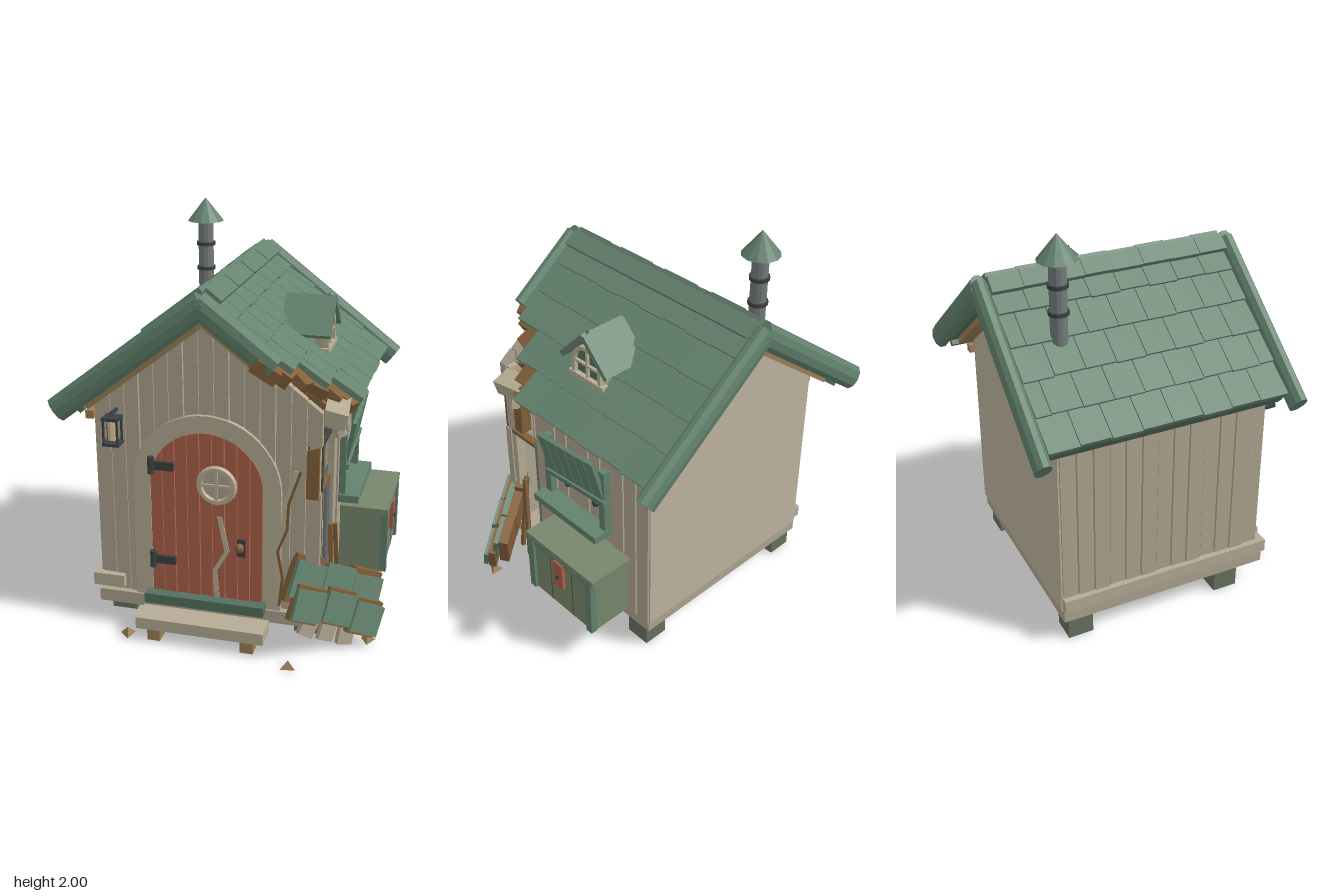
import * as THREE from 'three';

const C = {
  wood: 0xaea48f, woodLight: 0xb5ab95, back: 0xbdb39e, groove: 0x5a5245, dark: 0x3b4042, brown: 0x82603a,
  trim: 0x9a7f56, green: 0x62826d, greenDark: 0x54705f, roof: 0x668470, red: 0xab6048, cream: 0xb8ae94,
  pipe: 0x747a7a, foot: 0x68715f, chest: 0x78876c, under: 0xa89c92, glass: 0xc9b88a,
};
const CX = -0.055, ANGLE = 0.656, SLOPE = 0.77;
const gable = (x) => 1.63 - SLOPE * Math.abs(x - CX);

function add(parent, name, geo, color, pos = [0, 0, 0], rot = [0, 0, 0]) {
  const m = new THREE.Mesh(geo, new THREE.MeshStandardMaterial({ color, flatShading: true }));
  m.name = name;
  m.position.set(...pos);
  m.rotation.set(...rot);
  parent.add(m);
  return m;
}
// Box given by its limits on each axis
function span(parent, name, color, [x0, x1], [y0, y1], [z0, z1]) {
  return add(parent, name, new THREE.BoxGeometry(x1 - x0, y1 - y0, z1 - z0), color,
    [(x0 + x1) / 2, (y0 + y1) / 2, (z0 + z1) / 2]);
}
function group(parent, name, pos = [0, 0, 0]) {
  const g = new THREE.Group();
  g.name = name;
  g.position.set(...pos);
  parent.add(g);
  return g;
}
const extrude = (shape, depth) => new THREE.ExtrudeGeometry(shape, { depth, bevelEnabled: false, curveSegments: 12 });
const poly = (pts) => new THREE.Shape(pts.map((p) => new THREE.Vector2(...p)));
// Upright board whose top follows a rule
function board(x0, x1, y0, top, depth) {
  const pts = [[x0, y0], [x1, y0]];
  for (let i = 0; i <= 6; i++) { const x = x1 + (x0 - x1) * i / 6; pts.push([x, top(x)]); }
  return extrude(poly(pts), depth);
}
// Round-topped outline around x = 0
function archPath(r, y0, spring, P = THREE.Shape) {
  const s = new P();
  s.moveTo(-r, y0); s.lineTo(r, y0); s.lineTo(r, spring);
  s.absarc(0, spring, r, 0, Math.PI, false);
  s.lineTo(-r, y0);
  return s;
}
function archFrame(ro, ri, y0, spring, depth) {
  const s = archPath(ro, y0, spring);
  s.holes.push(archPath(ri, y0 + 0.001, spring, THREE.Path));
  return extrude(s, depth);
}
// Jagged strip along a list of points
function crack(pts, w) {
  const l = pts.map(([x, y], i) => [x - (i % 2 ? w : w * 0.6), y]);
  const r = pts.map(([x, y], i) => [x + (i % 2 ? w * 0.6 : w), y]).reverse();
  return extrude(poly([...l, ...r]), 0.01);
}

function buildBase(g) {
  span(g, 'platform', C.wood, [-0.61, 0.5], [0.115, 0.18], [-0.575, 0.54]);
  span(g, 'underside', C.under, [-0.58, 0.47], [0.105, 0.12], [-0.55, 0.51]);
  for (const x of [-0.535, 0.425]) for (const z of [-0.485, 0.335])
    add(g, 'foot', new THREE.BoxGeometry(0.13, 0.11, 0.13), C.foot, [x, 0.055, z]);
  span(g, 'step', C.woodLight, [-0.375, 0.265], [0.065, 0.125], [0.54, 0.675]);
  for (const x of [-0.29, 0.18]) span(g, 'stepFoot', C.trim, [x - 0.032, x + 0.032], [0, 0.065], [0.55, 0.66]);
  span(g, 'leftSkirting', C.woodLight, [-0.64, -0.585], [0.2, 0.265], [-0.58, 0.54]);
  span(g, 'frontSkirting', C.woodLight, [-0.64, -0.48], [0.2, 0.265], [0.5, 0.54]);
}

function buildWalls(g) {
  // Shell behind the boards
  const outline = poly([[-0.6, 0.18], [0.5, 0.18], [0.5, gable(0.5)], [CX, gable(CX)], [-0.6, gable(-0.6)]]);
  add(g, 'frontBacking', new THREE.ShapeGeometry(outline), C.groove, [0, 0, 0.47]);
  add(g, 'backWall', extrude(outline, 0.02), C.back, [0, 0, -0.585]);
  add(g, 'leftBacking', new THREE.PlaneGeometry(1.06, 1.02), C.groove, [-0.585, 0.69, -0.05], [0, -Math.PI / 2, 0]);
  add(g, 'rightBacking', new THREE.PlaneGeometry(0.82, 1.02), C.groove, [0.485, 0.69, -0.17], [0, Math.PI / 2, 0]);
  // Front boards, the last one broken in the middle
  const n = 15, w = 1.1 / n;
  for (let i = 0; i < n; i++) {
    const x0 = -0.6 + i * w + 0.002, x1 = x0 + w - 0.004, z = 0.465 + 0.004 * (i % 3);
    if (i < n - 1) { add(g, 'frontBoard', board(x0, x1, 0.18, gable, 0.04), C.wood, [0, 0, z]); continue; }
    add(g, 'brokenBoardLow', board(x0, x1, 0.18, (x) => 0.77 + (x - x0) * 0.5, 0.04), C.wood, [0, 0, z]);
    add(g, 'brokenBoardHigh', board(x0, x1, 1.04, gable, 0.04), C.wood, [0, 0, z]);
    add(g, 'brokenLining', board(x0, x1 - 0.01, 0.78, (x) => 1.02 + (x - x0) * 0.3, 0.02), C.brown, [0, 0, z + 0.025]);
  }
  // Side boards without their inner faces
  const sideBoards = (name, x, side, z0, z1) => {
    const k = Math.round((z1 - z0) / 0.082), bw = (z1 - z0) / k;
    for (let i = 0; i < k; i++) {
      const geo = new THREE.BoxGeometry(0.03, 1.02, bw - 0.006);
      const idx = Array.from(geo.index.array);
      geo.setIndex(side < 0 ? idx.slice(6) : [...idx.slice(0, 6), ...idx.slice(12)]);
      add(g, name, geo, C.wood, [x + side * 0.004 * (i % 3), 0.69, z0 + bw * (i + 0.5)]);
    }
  };
  sideBoards('leftBoard', -0.595, -1, -0.58, 0.5);
  sideBoards('rightBoard', 0.495, 1, -0.58, 0.24);
  span(g, 'leftWallPlate', C.trim, [-0.64, -0.6], [1.09, 1.13], [-0.56, 0.54]);
  span(g, 'rightWallPlate', C.trim, [0.5, 0.54], [1.12, 1.16], [-0.58, 0.22]);
  span(g, 'rightBracket', C.trim, [0.5, 0.54], [1.08, 1.12], [-0.61, -0.45]);
  // Exposed framing in the broken corner
  span(g, 'cornerStud', C.woodLight, [0.44, 0.49], [0.18, 1.2], [0.44, 0.5]);
  span(g, 'brokenStud', C.brown, [0.43, 0.49], [0.82, 1.05], [0.38, 0.44]);
  span(g, 'upperRail', C.dark, [0.46, 0.5], [1.03, 1.045], [0.24, 0.47]);
  span(g, 'lowerRail', C.brown, [0.46, 0.5], [0.795, 0.815], [0.24, 0.46]);
  add(g, 'brokenPlate', new THREE.BoxGeometry(0.11, 0.08, 0.2), C.woodLight, [0.53, 1.16, 0.34], [0.1, 0.1, -0.25]);
  add(g, 'brokenPeg', new THREE.CylinderGeometry(0.025, 0.035, 0.13, 6), C.wood, [0.54, 1.11, 0.35], [0.1, 0, 0.2]);
  const path = [[0.4, 0.92], [0.35, 0.75], [0.34, 0.62], [0.3, 0.5], [0.32, 0.36], [0.31, 0.21]];
  add(g, 'wallCrack', crack(path, 0.012), C.brown, [0, 0, 0.524]);
  add(g, 'wallCrackEdge', crack(path.map(([x, y]) => [x - 0.015, y]), 0.014), C.cream, [0, 0, 0.526]);
  // Drainpipe in broken lengths
  for (const [y0, y1] of [[0.13, 0.24], [0.27, 0.82], [1.03, 1.13]]) {
    add(g, 'drainpipe', new THREE.CylinderGeometry(0.018, 0.018, y1 - y0, 8), C.pipe, [0.485, (y0 + y1) / 2, 0.26]);
    add(g, 'drainpipeTip', new THREE.ConeGeometry(0.022, 0.05, 8), C.pipe, [0.485, y1 + 0.02, 0.26]);
  }
}

function buildDoor(parent) {
  const g = group(parent, 'door', [-0.05, 0, 0]);
  add(g, 'doorFrame', archFrame(0.365, 0.278, 0.18, 0.785, 0.055), C.woodLight, [0, 0, 0.475]);
  const top = (x) => 0.785 + Math.sqrt(Math.max(0, 0.078 - x * x));
  add(g, 'doorGrooves', extrude(archPath(0.278, 0.19, 0.785), 0.02), C.groove, [0, 0, 0.495]);
  for (let i = 0; i < 9; i++) {
    const x0 = -0.277 + i * 0.0616;
    add(g, 'doorBoard', board(x0 + 0.002, x0 + 0.059, 0.2, top, 0.025), C.red, [0, 0, 0.508 + 0.003 * (i % 2)]);
  }
  span(g, 'threshold', C.greenDark, [-0.305, 0.295], [0.165, 0.215], [0.5, 0.59]);
  // Round window
  add(g, 'portholePane', new THREE.CylinderGeometry(0.085, 0.085, 0.02, 20), C.wood, [0.055, 0.81, 0.53], [Math.PI / 2, 0, 0]);
  add(g, 'portholeRing', new THREE.TorusGeometry(0.083, 0.018, 6, 24), C.cream, [0.055, 0.81, 0.537]);
  for (const a of [0, Math.PI / 2])
    add(g, 'portholeBar', new THREE.BoxGeometry(0.15, 0.014, 0.02), C.cream, [0.055, 0.81, 0.54], [0, 0, a]);
  // Hinges and knob
  for (const y of [0.885, 0.39]) {
    add(g, 'hingeStrap', new THREE.BoxGeometry(0.12, 0.042, 0.02), C.dark, [-0.215, y, 0.54]);
    add(g, 'hingePin', new THREE.CylinderGeometry(0.017, 0.017, 0.085, 8), C.dark, [-0.268, y, 0.545]);
  }
  add(g, 'knobPlate', new THREE.BoxGeometry(0.04, 0.09, 0.015), C.dark, [0.175, 0.5, 0.54]);
  add(g, 'knob', new THREE.SphereGeometry(0.024, 8, 6), C.brown, [0.175, 0.515, 0.575]);
  add(g, 'doorCrack', crack([[0.065, 0.65], [0.09, 0.55], [0.1, 0.47], [0.045, 0.36], [0.05, 0.21]], 0.015), C.cream, [0, 0, 0.53]);
}

function buildRoof(parent) {
  const hash = (a, b) => (Math.sin(a * 12.9 + b * 78.2) * 437.5) % 1;
  for (const side of [-1, 1]) {
    const g = group(parent, side < 0 ? 'leftRoof' : 'rightRoof', [CX, 1.715, 0]);
    g.rotation.z = -side * ANGLE;
    const slab = (name, color, s0, s1, y, h, z0, z1) => add(g, name, new THREE.BoxGeometry(s1 - s0, h, z1 - z0), color,
      [side * (s0 + s1) / 2, y, (z0 + z1) / 2]);
    // Front edge of each shingle row; the right side is torn away
    const limit = side < 0 ? [0.53, 0.53, 0.53, 0.53, 0.53] : [0.53, 0.53, 0.52, 0.37, 0.23];
    limit.forEach((end, row) => {
      const s0 = row * 0.172, w = 0.151;
      slab('roofDeck', C.greenDark, s0, s0 + 0.172, -0.055, 0.05, -0.69, end);
      for (let c = 0; c < 9; c++) {
        const z0 = Math.max(-0.68, -0.68 + (c - (row % 2) / 2) * w), z1 = Math.min(end, -0.68 + (c + 1 - (row % 2) / 2) * w);
        if (z1 - z0 < 0.03) continue;
        const m = slab('shingle', C.roof, s0, s0 + 0.178 + 0.004 * hash(row, c), -0.013, 0.03, z0 + 0.002, z1 - 0.002);
        m.rotation.z = side * (0.07 + 0.012 * hash(c, row));
      }
    });
    slab('eaveBoard', C.greenDark, 0.825, 0.858, -0.08, 0.05, -0.69, limit[4]);
    // Ridge caps
    for (let c = 0; c < 8; c++) slab('ridgeCap', C.roof, -0.01, 0.08, 0.024 + 0.004 * (c % 2), 0.028, -0.68 + c * 0.151, -0.53 + c * 0.151);
    // Rounded gable edges and wooden trim below
    for (const z of [0.57, -0.717]) {
      const broken = side > 0 && z > 0, len = broken ? 0.45 : 0.925;
      add(g, 'gableEdge', new THREE.CylinderGeometry(0.064, 0.064, len, 10), C.green, [side * len / 2, -0.025, z], [0, 0, Math.PI / 2]).scale.z = 0.62;
      slab('gableTrim', C.trim, 0, broken ? 0.45 : 0.8, -0.093, 0.035, z > 0 ? 0.5 : -0.66, z > 0 ? 0.55 : -0.58);
    }
    if (side < 0) continue;
    // Splintered wood along the torn edge
    [[0.42, 0.56], [0.48, 0.48], [0.56, 0.41], [0.64, 0.34], [0.72, 0.28], [0.8, 0.22]].forEach(([s, z], i) =>
      add(g, 'splinter', new THREE.BoxGeometry(0.13, 0.07, 0.09), C.brown, [s, -0.06, z], [0.15 * (i % 2), 0.3 - 0.3 * (i % 3), 0.1 * (i % 2)]));
    add(g, 'brokenRafter', new THREE.BoxGeometry(0.3, 0.05, 0.05), C.brown, [0.65, -0.11, 0.36], [0, 0.35, 0]);
  }
}

function buildChimney(parent) {
  const g = group(parent, 'chimney', [-0.325, 0, -0.443]);
  add(g, 'chimneyPipe', new THREE.CylinderGeometry(0.041, 0.041, 0.46, 12), C.pipe, [0, 1.66, 0]);
  for (const y of [1.63, 1.76]) add(g, 'chimneyBand', new THREE.CylinderGeometry(0.05, 0.05, 0.018, 12), C.dark, [0, y, 0]);
  add(g, 'chimneyCap', new THREE.ConeGeometry(0.095, 0.12, 12), C.roof, [0, 1.94, 0]);
}

function buildDormer(parent) {
  // Faces the right side of the house
  const g = group(parent, 'dormer', [0, 1.33, -0.075]);
  g.rotation.y = Math.PI / 2;
  add(g, 'dormerBody', extrude(poly([[-0.105, 0], [0.105, 0], [0.105, 0.12], [0, 0.225], [-0.105, 0.12]]), 0.18), C.wood, [0, 0, 0.22]);
  add(g, 'dormerPane', extrude(archPath(0.085, 0.03, 0.1), 0.01), C.greenDark, [0, 0, 0.4]);
  add(g, 'dormerFrame', archFrame(0.1, 0.08, 0.02, 0.1, 0.03), C.cream, [0, 0, 0.4]);
  add(g, 'dormerSill', new THREE.BoxGeometry(0.24, 0.025, 0.05), C.cream, [0, 0.025, 0.41]);
  add(g, 'dormerMullion', new THREE.BoxGeometry(0.012, 0.15, 0.015), C.cream, [0, 0.1, 0.418]);
  add(g, 'dormerCrossbar', new THREE.BoxGeometry(0.16, 0.012, 0.015), C.cream, [0, 0.1, 0.418]);
  for (const s of [-1, 1])
    add(g, 'dormerRoof', new THREE.BoxGeometry(0.225, 0.026, 0.25), C.roof, [s * 0.077, 0.187, 0.322], [0, 0, -s * 0.8]);
  add(g, 'dormerFinial', new THREE.ConeGeometry(0.018, 0.04, 5), C.greenDark, [0, 0.275, 0.41]);
}

function buildSideWindow(parent) {
  const g = group(parent, 'sideWindow');
  span(g, 'windowSill', C.green, [0.5, 0.62], [0.61, 0.648], [-0.325, 0.14]);
  for (const z of [0.105, -0.3]) span(g, 'windowJamb', C.green, [0.5, 0.55], [0.648, 1.0], [z - 0.02, z + 0.02]);
  for (const z of [-0.03, -0.235]) add(g, 'windowPeg', new THREE.SphereGeometry(0.02, 8, 6), C.dark, [0.53, 0.765, z]);
  // Slanting shutter hanging loose
  const s = group(g, 'shutter', [0.56, 0.92, -0.1]);
  s.rotation.set(0.1, 0, -0.2);
  for (let i = 0; i < 6; i++) add(s, 'shutterBoard', new THREE.BoxGeometry(0.022, 0.25, 0.064), C.green, [0, 0, -0.17 + i * 0.068]);
  add(s, 'shutterRail', new THREE.BoxGeometry(0.035, 0.03, 0.43), C.green, [0.005, -0.115, 0]);
}

function buildChest(parent) {
  const g = group(parent, 'storageChest');
  span(g, 'chestBody', C.chest, [0.51, 0.745], [0.19, 0.51], [-0.44, 0.025]);
  span(g, 'chestLid', C.chest, [0.51, 0.76], [0.512, 0.545], [-0.465, 0.04]);
  for (const z of [0.01, -0.425]) span(g, 'chestPost', C.green, [0.725, 0.76], [0.19, 0.512], [z - 0.02, z + 0.02]);
  span(g, 'chestRail', C.green, [0.73, 0.755], [0.485, 0.512], [-0.44, 0.025]);
  for (const z of [-0.13, -0.29]) span(g, 'chestGroove', C.groove, [0.74, 0.747], [0.19, 0.49], [z - 0.003, z + 0.003]);
  span(g, 'latch', C.red, [0.745, 0.765], [0.34, 0.495], [-0.24, -0.172]);
  span(g, 'latchPin', C.dark, [0.76, 0.773], [0.4, 0.42], [-0.215, -0.197]);
}

function buildLantern(parent) {
  const g = group(parent, 'lantern', [-0.492, 0, 0.575]);
  add(g, 'lanternGlass', new THREE.CylinderGeometry(0.025, 0.025, 0.1, 8), C.glass, [0, 1.06, 0]);
  for (const y of [0.992, 1.118]) add(g, 'lanternPlate', new THREE.BoxGeometry(0.082, 0.014, 0.075), C.dark, [0, y, 0]);
  for (const x of [-0.034, 0.034]) for (const z of [-0.03, 0.03])
    add(g, 'lanternBar', new THREE.BoxGeometry(0.009, 0.125, 0.009), C.dark, [x, 1.055, z]);
  add(g, 'lanternCap', new THREE.ConeGeometry(0.04, 0.03, 4), C.dark, [0, 1.135, 0], [0, Math.PI / 4, 0]);
  add(g, 'lanternArm', new THREE.BoxGeometry(0.015, 0.015, 0.09), C.dark, [0, 1.14, -0.04]);
}

function buildDebris(parent) {
  // Fallen piece of roof leaning on the corner, in two layers
  const g = group(parent, 'fallenRoof', [0.565, 0.265, 0.475]);
  g.rotation.set(-0.14, 0.66, -0.4, 'YXZ');
  for (let i = 0; i < 3; i++) {
    const x = -0.165 + i * 0.165, dy = 0.02 * (i % 2);
    add(g, 'fallenBatten', new THREE.BoxGeometry(0.155, 0.24, 0.05), C.brown, [x, 0.04 - dy, -0.045]);
    add(g, 'upperShingle', new THREE.BoxGeometry(0.16, 0.18, 0.03), C.roof, [x, 0.045 + dy, 0], [-0.1, 0, 0.03 * (i - 1)]);
    add(g, 'lowerBatten', new THREE.BoxGeometry(0.15, 0.18, 0.04), C.brown, [x + 0.02, -0.06 + dy, 0.02]);
    add(g, 'lowerShingle', new THREE.BoxGeometry(0.155, 0.15, 0.025), C.roof, [x + 0.02, -0.06 + dy, 0.052], [-0.08, 0, 0.04 * (1 - i)]);
    add(g, 'fallenPlank', new THREE.BoxGeometry(0.08, 0.2, 0.03), C.wood, [x * 0.6 + 0.03, -0.12, -0.01], [0, 0, 0.15 * (i - 1)]);
  }
  for (const [x, z, tilt] of [[0.55, 0.31, 0.05], [0.53, 0.36, -0.1]])
    add(parent, 'leaningStick', new THREE.BoxGeometry(0.02, 0.5, 0.02), C.brown, [x, 0.33, z], [tilt, 0, 0.05]);
  for (const [x, z, a] of [[-0.43, 0.64, 0.3], [0.4, 0.73, 1.2], [0.73, 0.4, 2.1]])
    add(parent, 'woodChip', new THREE.ConeGeometry(0.042, 0.04, 3), C.trim, [x, 0.022, z], [0, a, 0]);
}

export function createModel() {
  const model = new THREE.Group();
  model.name = 'cottage';
  for (const build of [buildBase, buildWalls, buildDoor, buildRoof, buildChimney, buildDormer,
    buildSideWindow, buildChest, buildLantern, buildDebris]) build(model);
  return model;
}
